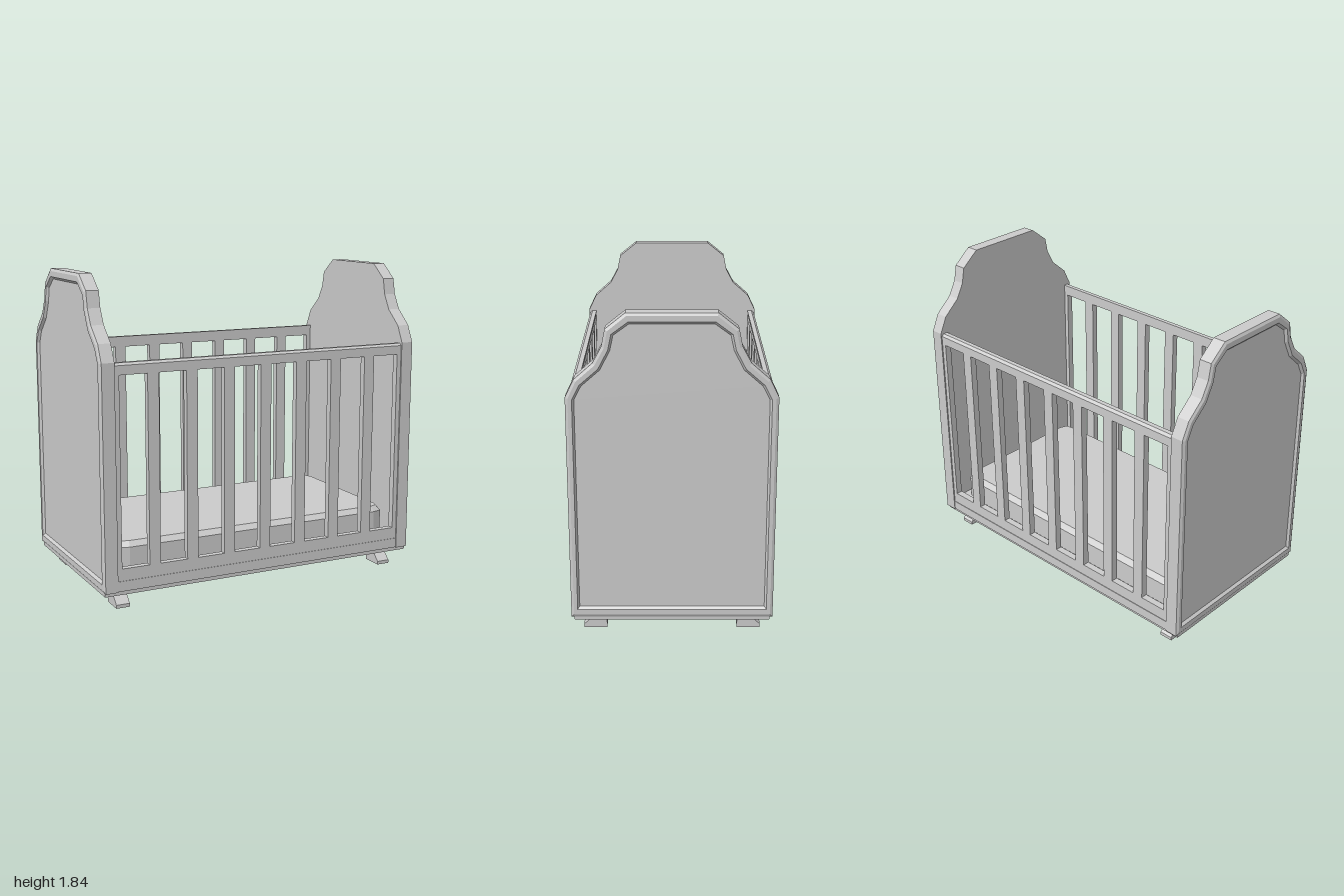
import * as THREE from 'three';

const paint = new THREE.MeshStandardMaterial({ color: 0xcccccc, flatShading: true });
paint.name = 'grey paint';

function add(parent, name, geometry, x = 0, y = 0, z = 0) {
  const mesh = new THREE.Mesh(geometry, paint);
  mesh.name = name;
  mesh.position.set(x, y, z);
  parent.add(mesh);
  return mesh;
}

// Mirror half an outline (right side, bottom to top) into a counter-clockwise loop
const mirrored = (half) => [...half, ...half.slice().reverse().map(([u, v]) => [-u, v])];

// Move every edge of a counter-clockwise outline inward by t
function inset(points, t, vScale = 1) {
  const n = points.length;
  const normal = (a, b) => new THREE.Vector2(a[1] - b[1], b[0] - a[0]).normalize();
  return points.map((p, i) => {
    const n1 = normal(points[(i + n - 1) % n], p);
    const n2 = normal(p, points[(i + 1) % n]);
    const k = t / (1 + n1.dot(n2));
    return [p[0] + (n1.x + n2.x) * k, p[1] + (n1.y + n2.y) * k * vScale];
  });
}

// Solid through a series of rings {pts, w} stacked along local z, closed at both ends
function loft(rings) {
  const n = rings[0].pts.length;
  const pos = [];
  const index = [];
  for (const { pts, w } of rings) for (const [u, v] of pts) pos.push(u, v, w);
  for (let r = 0; r < rings.length - 1; r++) {
    for (let i = 0; i < n; i++) {
      const a = r * n + i;
      const b = r * n + ((i + 1) % n);
      index.push(a, b, b + n, a, b + n, a + n);
    }
  }
  const cap = (r, flip) => {
    const contour = rings[r].pts.map(([u, v]) => new THREE.Vector2(u, v));
    for (const [a, b, c] of THREE.ShapeUtils.triangulateShape(contour, [])) {
      const o = r * n;
      if (flip) index.push(o + a, o + c, o + b);
      else index.push(o + a, o + b, o + c);
    }
  };
  cap(0, true);
  cap(rings.length - 1, false);
  const g = new THREE.BufferGeometry();
  g.setAttribute('position', new THREE.Float32BufferAttribute(pos, 3));
  g.setIndex(index);
  const flat = g.toNonIndexed();
  flat.computeVertexNormals();
  return flat;
}

// Stepped, arched end board with a chamfered rim and a recessed outer face
function endPanelGeometry() {
  const outline = mirrored([
    [0.557, 0.115], [0.557, 1.39], [0.51, 1.488], [0.41, 1.576],
    [0.363, 1.663], [0.344, 1.756], [0.237, 1.842],
  ]);
  return loft([
    { pts: outline, w: 0.918 },
    { pts: outline, w: 0.992 },
    { pts: inset(outline, 0.015), w: 1.0 },
    { pts: inset(outline, 0.036, 1.3), w: 1.0 },
    { pts: inset(outline, 0.047, 1.3), w: 0.985 },
  ]).rotateY(Math.PI / 2);
}

// Flat rail frame with eight openings, leaving seven slats
function sideFrameGeometry() {
  const shape = new THREE.Shape();
  shape.moveTo(-0.92, 0.17).lineTo(0.92, 0.17).lineTo(0.92, 1.37).lineTo(-0.92, 1.37).closePath();
  for (let i = 0; i < 8; i++) {
    const x = (i - 3.5) * 0.231;
    const h = 0.082;
    const hole = new THREE.Path();
    hole.moveTo(x - h, 0.245).lineTo(x - h, 1.32).lineTo(x + h, 1.32).lineTo(x + h, 0.245).closePath();
    shape.holes.push(hole);
  }
  return new THREE.ExtrudeGeometry(shape, { depth: 0.04, bevelEnabled: false });
}

// Extrude a (z, y) profile along x, centred
function alongX(points, length) {
  const shape = new THREE.Shape(points.map(([u, v]) => new THREE.Vector2(u, v)));
  return new THREE.ExtrudeGeometry(shape, { depth: length, bevelEnabled: false })
    .translate(0, 0, -length / 2)
    .rotateY(-Math.PI / 2);
}

export function createModel() {
  const crib = new THREE.Group();
  crib.name = 'crib';

  // Base
  add(crib, 'baseBoard', new THREE.BoxGeometry(1.98, 0.03, 1.08), 0, 0.108, 0);
  add(crib, 'plinth', new THREE.BoxGeometry(1.84, 0.058, 1.106), 0, 0.146, 0);
  add(crib, 'floor', new THREE.BoxGeometry(1.84, 0.04, 1.03), 0, 0.18, 0);

  // Mattress with clipped corners and a chamfered top edge
  const corner = [[0.81, 0.465], [0.868, 0.447], [0.89, 0.39]];
  const half = [...corner.map(([u, v]) => [u, -v]), ...corner.slice().reverse()];
  const bed = mirrored(half);
  add(crib, 'mattress', loft([
    { pts: bed, w: 0.19 },
    { pts: bed, w: 0.335 },
    { pts: inset(bed, 0.027), w: 0.365 },
  ]).rotateX(-Math.PI / 2));

  // End panels, left and right
  const panel = endPanelGeometry();
  add(crib, 'leftEndPanel', panel);
  add(crib, 'rightEndPanel', panel).rotation.y = Math.PI;

  // Slatted sides with a chamfered top rail, and feet with a flared toe
  const frame = sideFrameGeometry();
  const railCap = alongX([[0.508, 1.365], [0.55, 1.365], [0.55, 1.372], [0.535, 1.385], [0.508, 1.385]], 1.84);
  const foot = alongX([[0.365, 0], [0.495, 0], [0.495, 0.02], [0.437, 0.076], [0.365, 0.076]], 0.08);
  const footPlate = new THREE.BoxGeometry(0.105, 0.02, 0.105);
  for (const [name, turn] of [['front', 0], ['back', Math.PI]]) {
    const side = new THREE.Group();
    side.name = name + 'Side';
    side.rotation.y = turn;
    add(side, name + 'SlatFrame', frame, 0, 0, 0.51);
    add(side, name + 'TopRail', railCap);
    for (const x of [-0.868, 0.868]) {
      add(side, name + 'Foot', foot, x, 0, 0);
      add(side, name + 'FootPlate', footPlate, x, 0.085, 0.405);
    }
    crib.add(side);
  }
  return crib;
}
